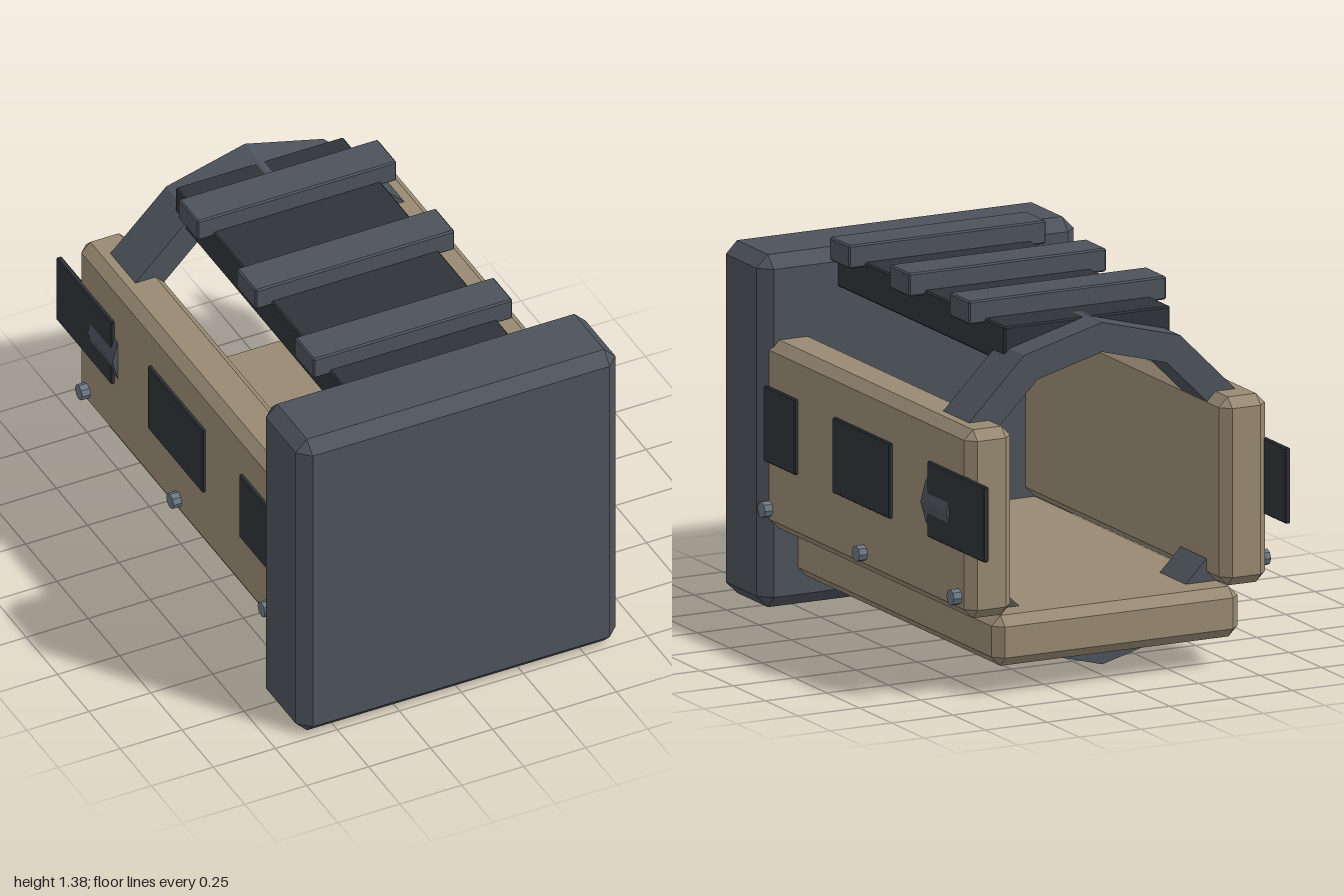
import * as THREE from 'three';
import { ConvexGeometry } from 'three/addons/geometries/ConvexGeometry.js';

const material = (color) => new THREE.MeshStandardMaterial({ color, flatShading: true });
const steel = material(0x4d535b);
const dark = material(0x2f3338);
const tan = material(0x988972);
const bolt = material(0x6a7681);

// Box with every edge chamfered by c, given as [min, max] ranges
function chamferBox(xr, yr, zr, c) {
  const mid = [xr, yr, zr].map(([a, b]) => (a + b) / 2);
  const half = [xr, yr, zr].map(([a, b]) => (b - a) / 2);
  const points = [];
  for (const sx of [-1, 1]) for (const sy of [-1, 1]) for (const sz of [-1, 1]) {
    const s = [sx, sy, sz];
    for (let full = 0; full < 3; full++) {
      const p = s.map((sign, i) => mid[i] + sign * (half[i] - (i === full ? 0 : c)));
      points.push(new THREE.Vector3(...p));
    }
  }
  return new ConvexGeometry(points);
}

function ringPoints(radius, sides) {
  return Array.from({ length: sides }, (_, i) => {
    const a = (i / sides) * Math.PI * 2;
    return new THREE.Vector2(Math.cos(a) * radius, Math.sin(a) * radius);
  });
}

export function createModel() {
  const model = new THREE.Group();
  const add = (name, geometry, mat, parent = model) => {
    const mesh = new THREE.Mesh(geometry, mat);
    mesh.name = name;
    parent.add(mesh);
    return mesh;
  };

  // Heavy front block and floor slab
  add('frontBlock', chamferBox([-0.645, 0.645], [0, 1.31], [0.67, 1], 0.046), steel);
  add('floorSlab', chamferBox([-0.5, 0.5], [0.11, 0.297], [-0.86, 0.86], 0.036), tan);

  // Side walls with dark plates and bolts
  for (const side of [-1, 1]) {
    const wall = new THREE.Group();
    wall.name = side > 0 ? 'leftWall' : 'rightWall';
    model.add(wall);
    const xr = (a, b) => (side > 0 ? [a, b] : [-b, -a]);
    add('wallPanel', chamferBox(xr(0.425, 0.612), [0.3, 1], [-0.86, 0.86], 0.036), tan, wall);
    for (const z of [0.68, -0.05, -0.78]) {
      add('wallPlate', chamferBox(xr(0.604, 0.625), [0.55, 0.83], [z - 0.22, z + 0.22], 0.004), dark, wall);
      const head = add('bolt', new THREE.CylinderGeometry(0.03, 0.03, 0.06, 8), bolt, wall);
      head.rotation.z = Math.PI / 2;
      head.position.set(side * 0.615, 0.375, z);
    }
  }

  // Twelve-sided hoop wrapped through the walls and floor
  const hoopShape = new THREE.Shape(ringPoints(0.635, 12));
  hoopShape.holes.push(new THREE.Path(ringPoints(0.525, 12)));
  const hoop = add('hoop', new THREE.ExtrudeGeometry(hoopShape, { depth: 0.2, bevelEnabled: false }), steel);
  hoop.position.set(0, 0.675, -0.73);

  // Top rail with three cross bars
  add('topRail', chamferBox([-0.338, 0.338], [1.17, 1.306], [-0.615, 0.72], 0.006), dark);
  for (const z of [0.54, 0.076, -0.388]) {
    add('crossBar', chamferBox([-0.402, 0.402], [1.288, 1.375], [z - 0.077, z + 0.077], 0.006), steel);
  }

  return model;
}
